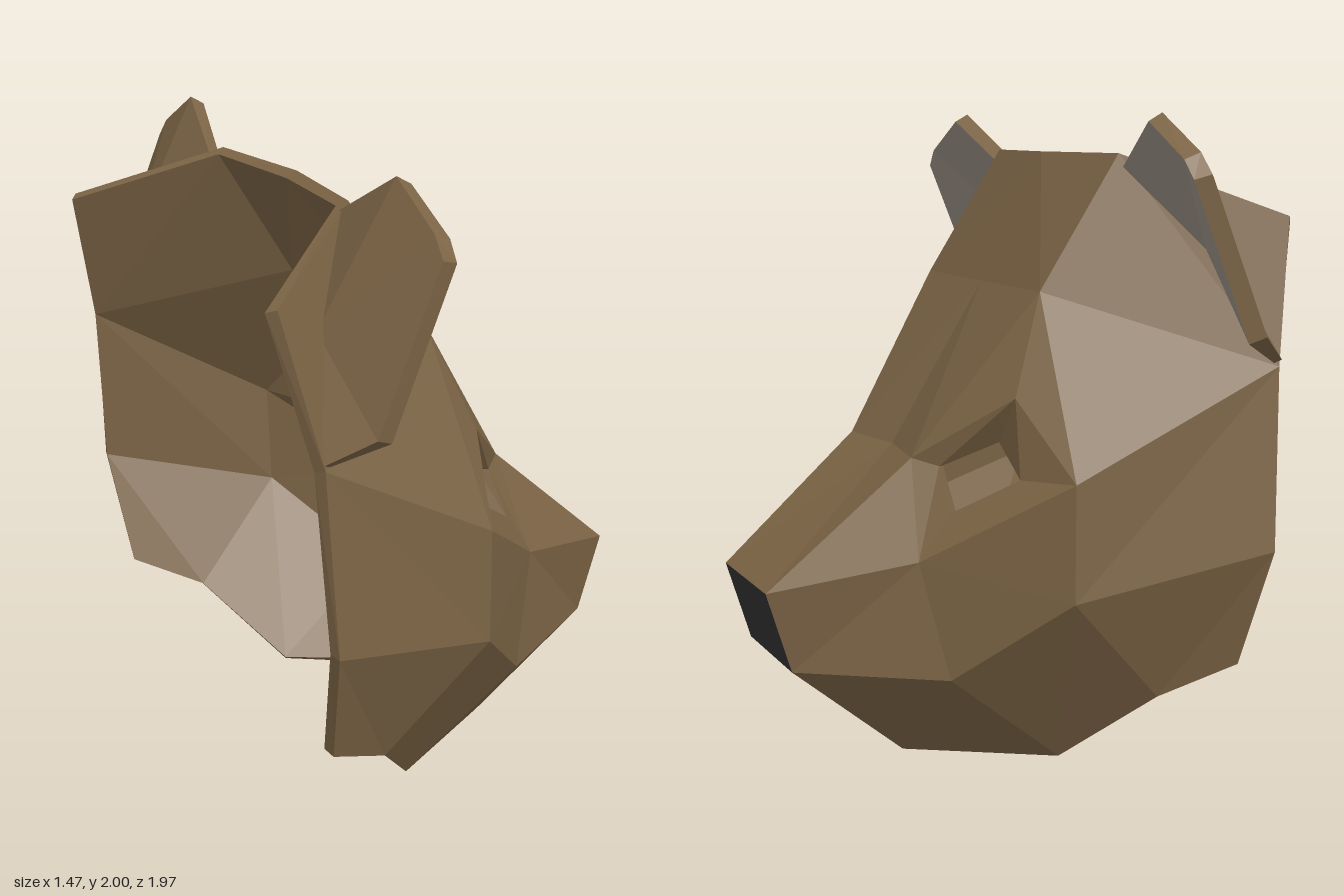
import * as THREE from 'three';

const paint = (color) => new THREE.MeshStandardMaterial({ color, flatShading: true, roughness: 0.9, side: THREE.DoubleSide });
const brown = paint(0x7d6546), grey = paint(0x9a8f86), black = paint(0x333333);

// Corners of the left half of the mask, which faces +x
const HALF = {
  topMid: [-0.28, 1.88, 0], top: [-0.33, 1.88, 0.44], crown: [-0.715, 1.7, 0.79],
  browMid: [-0.07, 1.47, 0], brow: [-0.07, 1.47, 0.44],
  bridgeMid: [0.24, 0.96, 0], bridge: [0.28, 0.96, 0.27],
  noseTopMid: [0.735, 0.565, 0], noseTop: [0.735, 0.565, 0.22],
  noseLowMid: [0.655, 0.31, 0], noseLow: [0.655, 0.31, 0.22],
  chinMid: [0.28, 0, 0], chin: [0.28, 0.005, 0.185],
  jaw: [-0.14, 0.01, 0.45], jawBack: [-0.35, 0.25, 0.7], sideLow: [-0.57, 0.355, 0.8],
  side: [-0.61, 0.725, 0.925], temple: [-0.63, 1.27, 0.89],
  cheek: [-0.035, 0.585, 0.77], muzzle: [0.24, 0.31, 0.49], snout: [0.32, 0.67, 0.43],
  socketTop: [0.05, 1.165, 0.53], socketOut: [-0.035, 0.94, 0.77],
  eyeTop: [0.06, 1.02, 0.435], eyeOut: [0.06, 0.93, 0.59],
  eyeLow: [0.22, 0.815, 0.44], eyeIn: [0.215, 0.94, 0.335],
};

// Faces of the left half, counter-clockwise from outside
const FACES = [
  'topMid top brow browMid', 'browMid brow bridge bridgeMid', 'bridgeMid bridge noseTop noseTopMid',
  'noseLowMid noseLow chin chinMid',
  'top crown temple', 'top temple brow', 'brow temple socketOut', 'brow socketOut socketTop',
  'brow socketTop bridge', 'temple side cheek socketOut', 'side sideLow jawBack cheek',
  'cheek jawBack jaw muzzle', 'muzzle jaw chin noseLow',
  'cheek muzzle snout', 'muzzle noseLow snout', 'noseLow noseTop snout', 'noseTop bridge snout',
  'snout eyeLow eyeOut socketOut cheek', 'snout bridge eyeIn eyeLow',
  'socketTop socketOut eyeOut eyeTop', 'socketTop eyeTop eyeIn bridge',
];
const NOSE = ['noseTopMid noseTop noseLow noseLowMid'];

const mirrorName = (n) => (n.endsWith('Mid') ? n : n + '_r');

// Splits faces into triangles and adds their mirror images
function bothSides(faces) {
  const tris = [];
  for (const face of faces) {
    const f = face.split(' ');
    for (let i = 1; i < f.length - 1; i++) {
      const t = [f[0], f[i], f[i + 1]];
      tris.push(t, t.map(mirrorName).reverse());
    }
  }
  return tris;
}

function makeMesh(name, points, material) {
  const geometry = new THREE.BufferGeometry().setFromPoints(points);
  geometry.computeVertexNormals();
  const mesh = new THREE.Mesh(geometry, material);
  mesh.name = name;
  return mesh;
}

function addMask(group) {
  const outer = {}, inner = {}, normals = {};
  for (const [name, p] of Object.entries(HALF)) {
    outer[name] = new THREE.Vector3(...p);
    outer[mirrorName(name)] = new THREE.Vector3(p[0], p[1], name.endsWith('Mid') ? 0 : -p[2]);
  }
  const skin = bothSides(FACES), nose = bothSides(NOSE), all = [...skin, ...nose];

  // Inner shell: every corner moved inwards along its averaged normal
  for (const name in outer) normals[name] = new THREE.Vector3();
  for (const t of all) {
    const n = new THREE.Triangle(...t.map((k) => outer[k])).getNormal(new THREE.Vector3());
    t.forEach((k) => normals[k].add(n));
  }
  for (const k in outer) inner[k] = outer[k].clone().addScaledVector(normals[k].normalize(), -0.04);

  // Rim strips along the open back edge and the eye holes
  const edges = new Set(all.flatMap((t) => t.map((k, i) => k + ' ' + t[(i + 1) % 3])));
  const rim = [];
  for (const e of edges) {
    const [a, b] = e.split(' ');
    if (edges.has(b + ' ' + a)) continue;
    rim.push(outer[b], outer[a], inner[a], outer[b], inner[a], inner[b]);
  }
  group.add(
    makeMesh('maskFace', skin.flat().map((k) => outer[k]), brown),
    makeMesh('nose', nose.flat().map((k) => outer[k]), black),
    makeMesh('maskInside', all.flatMap((t) => [...t].reverse().map((k) => inner[k])), brown),
    makeMesh('maskRim', rim, brown),
  );
}

// Ear: grey front, brown back and edge; side is 1 for left, -1 for right
function makeEar(side) {
  const vec = (p) => new THREE.Vector3(p[0], p[1], p[2] * side);
  const front = [
    [-0.33, 1.84, 0.47], [-0.28, 1.975, 0.715], [-0.28, 1.87, 0.925], [-0.285, 1.815, 0.972],
    [-0.475, 1.35, 0.972], [-0.615, 1.28, 0.885], [-0.5, 1.6, 0.68],
  ].map(vec);
  const back = [
    [-0.37, 1.86, 0.46], [-0.325, 2, 0.715], [-0.33, 1.89, 0.93], [-0.335, 1.83, 0.987],
    [-0.525, 1.37, 0.987], [-0.635, 1.29, 0.895], [-0.55, 1.59, 0.68],
  ].map(vec);
  const last = front.length - 1;
  const face = [], shell = [];
  const put = (list, a, b, c) => list.push(...(side > 0 ? [a, b, c] : [c, b, a]));
  for (let i = 0; i < last - 1; i++) {
    put(face, front[last], front[i], front[i + 1]);
    put(shell, back[last], back[i + 1], back[i]);
  }
  for (let i = 0; i <= last; i++) {
    const j = (i + 1) % (last + 1);
    put(shell, front[j], front[i], back[i]);
    put(shell, front[j], back[i], back[j]);
  }
  const ear = new THREE.Group();
  ear.name = side > 0 ? 'earPositiveZ' : 'earNegativeZ';
  ear.add(makeMesh('earInside', face, grey), makeMesh('earShell', shell, brown));
  return ear;
}

export function createModel() {
  const group = new THREE.Group();
  group.name = 'bearMask';
  addMask(group);
  for (const side of [1, -1]) group.add(makeEar(side));
  return group;
}
